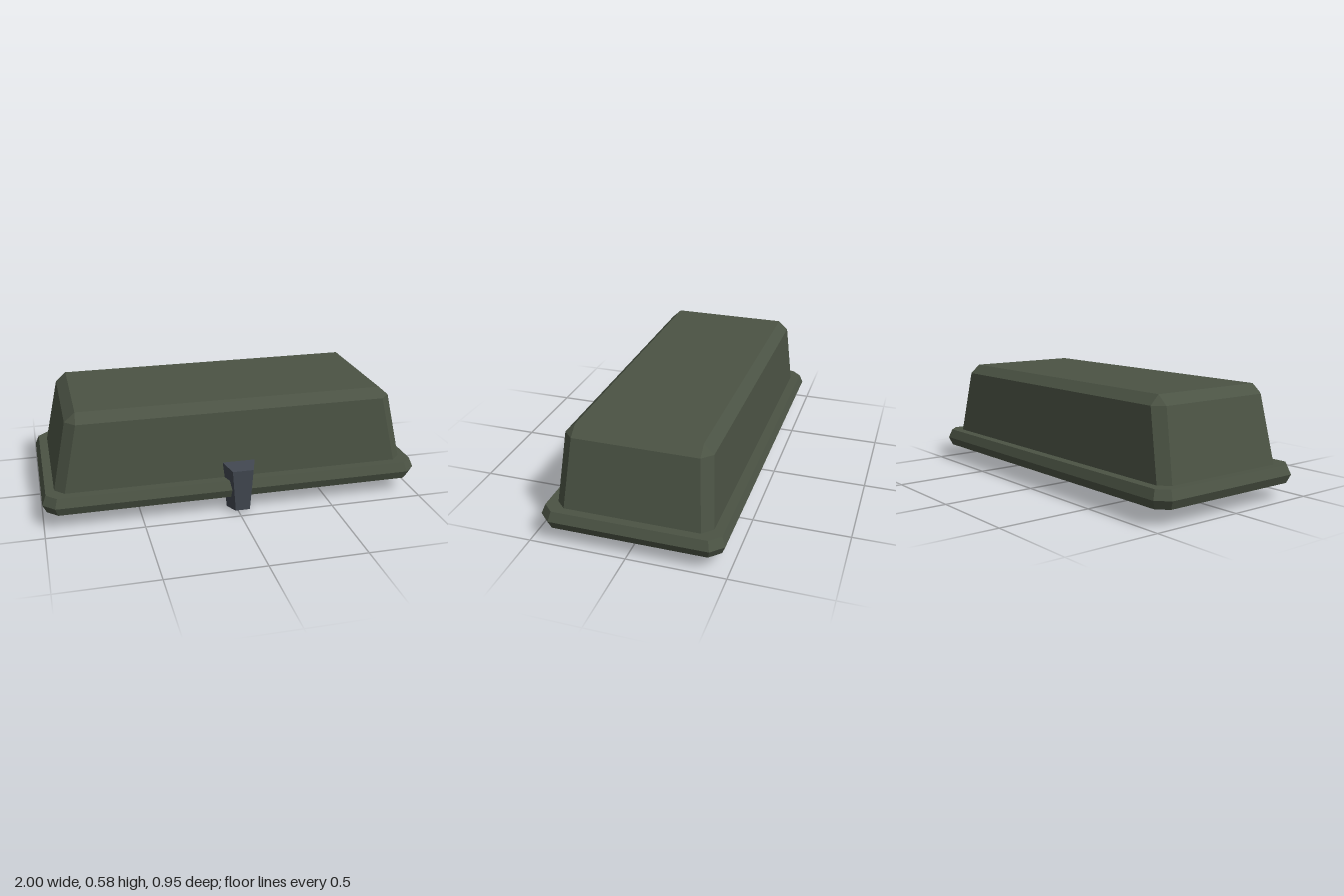
import * as THREE from 'three';

const olive = new THREE.MeshStandardMaterial({ color: 0x4b5344 });
olive.name = 'olive green';
const slate = new THREE.MeshStandardMaterial({ color: 0x40464f });
slate.name = 'slate grey';

// Rectangle with cut corners, counter-clockwise from above
function ring(y, halfX, front, back, cut) {
  const x = halfX, c = cut;
  return [
    [x, front - c], [x, back + c], [x - c, back], [c - x, back],
    [-x, back + c], [-x, front - c], [c - x, front], [x - c, front],
  ].map(([px, pz]) => new THREE.Vector3(px, y, pz));
}

// Faceted skin through successive rings, with optional end caps
function loft(rings, capStart, capEnd) {
  const pos = [];
  const tri = (a, b, c) => {
    const area = b.clone().sub(a).cross(c.clone().sub(a)).length();
    if (area > 1e-8) pos.push(...a.toArray(), ...b.toArray(), ...c.toArray());
  };
  const n = rings[0].length;
  for (let r = 0; r < rings.length - 1; r++) {
    const a = rings[r], b = rings[r + 1];
    for (let i = 0; i < n; i++) {
      const j = (i + 1) % n;
      tri(a[i], a[j], b[j]);
      tri(a[i], b[j], b[i]);
    }
  }
  const first = rings[0], last = rings[rings.length - 1];
  for (let i = 1; i < n - 1; i++) {
    if (capStart) tri(first[0], first[i + 1], first[i]);
    if (capEnd) tri(last[0], last[i], last[i + 1]);
  }
  const geo = new THREE.BufferGeometry();
  geo.setAttribute('position', new THREE.Float32BufferAttribute(pos, 3));
  geo.computeVertexNormals();
  return geo;
}

export function createModel() {
  const group = new THREE.Group();
  const add = (name, geo, mat) => {
    const mesh = new THREE.Mesh(geo, mat);
    mesh.name = name;
    group.add(mesh);
  };

  const opening = ring(0.085, 0.88, 0.335, -0.355, 0.05);
  const base = ring(0.178, 0.935, 0.387, -0.405, 0.05);

  // Tapered lid with bevelled shoulder and flat top
  add('lidBody', loft([
    base,
    ring(0.53, 0.86, 0.36, -0.378, 0.051),
    ring(0.578, 0.805, 0.309, -0.327, 0),
  ], false, true), olive);

  // Flange around the bottom edge, pointed at mid height
  add('rim', loft([
    opening,
    ring(0.085, 0.98, 0.437, -0.455, 0.053),
    ring(0.13, 1, 0.455, -0.473, 0.06),
    ring(0.178, 0.98, 0.437, -0.455, 0.053),
    base,
  ], false, false), olive);

  // Hollow inside of the lid
  add('interior', loft([
    ring(0.54, 0.81, 0.31, -0.33, 0.05),
    opening,
  ], true, false), olive);

  // Latch: wedge narrowing toward its front and its bottom
  const latchX = 0.016;
  const section = (z, top, bottom, topHalf, bottomHalf) => [
    [-bottomHalf, bottom], [bottomHalf, bottom], [topHalf, top], [-topHalf, top],
  ].map(([x, y]) => new THREE.Vector3(latchX + x, y, z));
  add('latch', loft([
    section(0.375, 0.26, 0, 0.088, 0.062),
    section(0.473, 0.243, 0.02, 0.055, 0.038),
  ], true, true), slate);

  return group;
}
